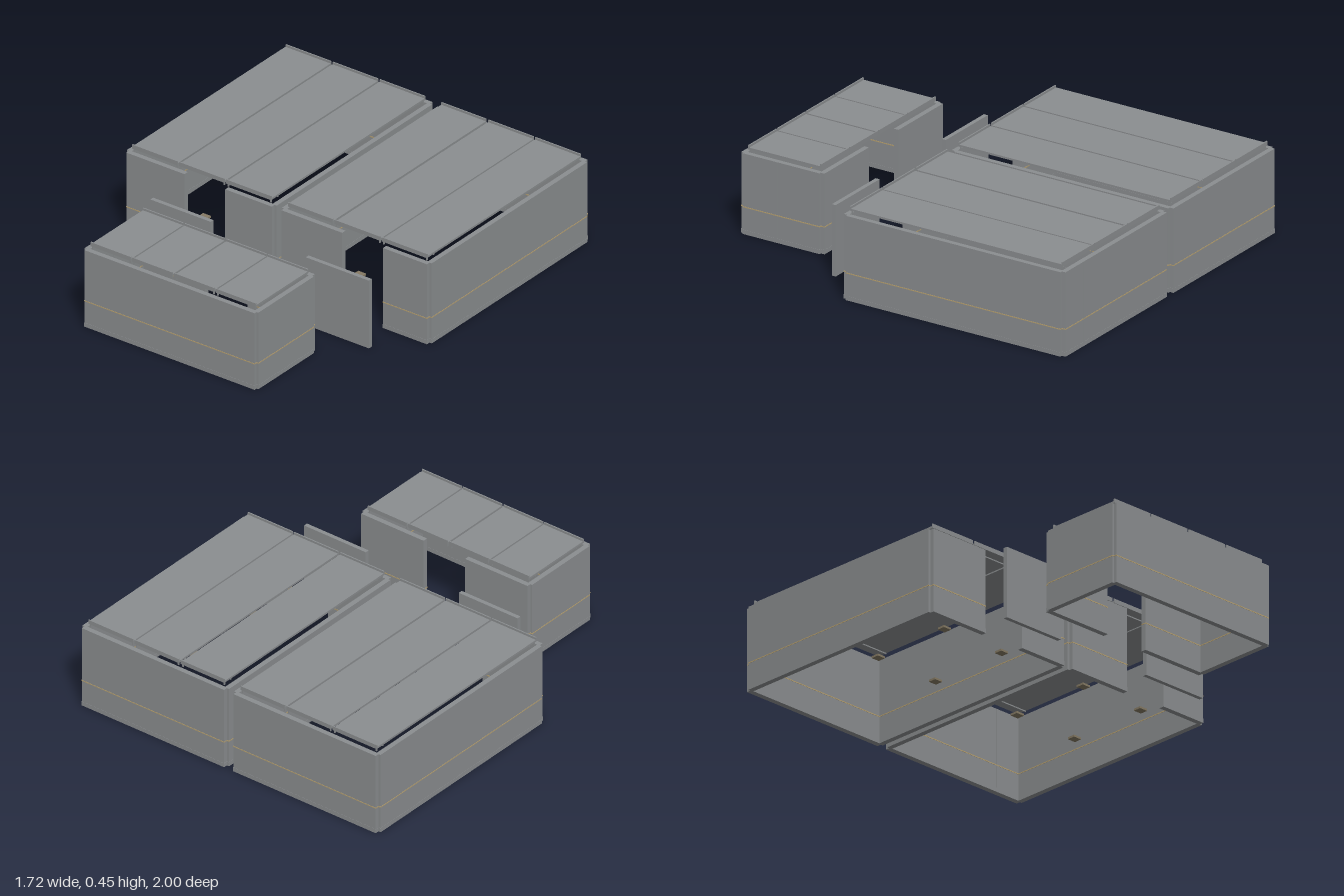
import * as THREE from 'three';

const mat = (name, color) => Object.assign(new THREE.MeshStandardMaterial({ color }), { name });
const panelGrey = mat('panel grey', 0x8b8e90);
const plateBrown = mat('plate brown', 0x857a64);
const lineTan = mat('line tan', 0xb8a272);

// Box given by its limits on each axis
function box(parent, name, material, [x0, x1], [y0, y1], [z0, z1]) {
  const mesh = new THREE.Mesh(new THREE.BoxGeometry(x1 - x0, y1 - y0, z1 - z0), material);
  mesh.position.set((x0 + x1) / 2, (y0 + y1) / 2, (z0 + z1) / 2);
  mesh.name = name;
  parent.add(mesh);
}

// Wall with a base rail, a tan joint line and optional upright cover strips
function wall(parent, name, xs, zs, height, seams = []) {
  const g = new THREE.Group();
  g.name = name;
  parent.add(g);
  const wide = ([a, b]) => [a - 0.001, b + 0.001];
  box(g, 'wallPanel', panelGrey, xs, [0, height], zs);
  box(g, 'baseRail', panelGrey, wide(xs), [0, 0.021], wide(zs));
  box(g, 'panelLine', lineTan, wide(xs), [0.131, 0.136], wide(zs));
  const alongX = xs[1] - xs[0] > zs[1] - zs[0];
  for (const s of seams) {
    const cut = [s - 0.0015, s + 0.0015];
    // strips stop either side of the joint line
    for (const ys of [[0.021, 0.131], [0.136, height]])
      box(g, 'coverStrip', panelGrey, alongX ? cut : wide(xs), ys, alongX ? wide(zs) : cut);
  }
}

// Raised roof of separate strips with turned-up ends, resting on two cross rods
function roof(parent, strips, zs, y, rodZ, rodXs) {
  const g = new THREE.Group();
  g.name = 'roof';
  parent.add(g);
  const [z0, z1] = zs;
  for (const xs of strips) {
    box(g, 'roofStrip', panelGrey, xs, [y, y + 0.01], zs);
    for (const z of [z0, z1 - 0.006])
      box(g, 'roofLip', panelGrey, xs, [y + 0.01, y + 0.021], [z, z + 0.006]);
    // small feet under the strip corners
    for (const x of [xs[0] + 0.004, xs[1] - 0.01])
      for (const z of [z0 + 0.006, z1 - 0.012])
        box(g, 'roofFoot', panelGrey, [x, x + 0.006], [y - 0.016, y], [z, z + 0.006]);
  }
  for (const z of rodZ) box(g, 'roofRod', panelGrey, rodXs, [y - 0.006, y], [z - 0.003, z + 0.003]);
}

// Large room; x is its lower side
function largeRoom(name, x, door, strips, plates, seams) {
  const g = new THREE.Group();
  g.name = name;
  const h = 0.413, t = 0.025, w = 0.845;
  wall(g, 'lowerSideWall', [x, x + t], [-0.98, 0.18], h);
  wall(g, 'upperSideWall', [x + w - t, x + w], [-0.98, 0.18], h);
  wall(g, 'backWall', [x + 0.012, x + w - 0.012], [-1, -0.975], h, seams);
  wall(g, 'frontWallA', [x + 0.012, door[0]], [0.175, 0.2], h);
  wall(g, 'frontWallB', [door[1], x + w - 0.012], [0.175, 0.2], h);
  roof(g, strips, [-0.973, 0.178], 0.429, [-0.925, 0.125], [strips[0][0], strips[2][1]]);
  // small plates inside the room
  for (const px of plates)
    for (const z of [-0.44, -0.015])
      box(g, 'innerPlate', plateBrown, [px - 0.022, px + 0.022], [0.072, 0.082], [z - 0.02, z + 0.02]);
  return g;
}

function smallRoom() {
  const g = new THREE.Group();
  g.name = 'smallRoom';
  const h = 0.395;
  wall(g, 'frontWall', [-0.48, 0.48], [0.975, 1], h, [0.4]);
  for (const s of [-1, 1]) {
    const span = (a, b) => (s > 0 ? [a, b] : [-b, -a]);
    wall(g, 'sideWall', span(0.465, 0.49), [0.57, 0.985], h, [0.8]);
    wall(g, 'backWall', span(0.12, 0.48), [0.55, 0.575], h);
  }
  const strips = [[-0.465, -0.239], [-0.231, -0.005], [0.005, 0.231], [0.239, 0.465]];
  roof(g, strips, [0.577, 0.973], 0.408, [0.625, 0.92], [-0.465, 0.465]);
  return g;
}

export function createModel() {
  const model = new THREE.Group();
  model.name = 'panelRooms';
  model.add(
    largeRoom('leftLargeRoom', 0.015, [0.37, 0.6],
      [[0.047, 0.299], [0.311, 0.567], [0.575, 0.832]], [0.305, 0.665], [0.7]),
    largeRoom('rightLargeRoom', -0.86, [-0.52, -0.29],
      [[-0.832, -0.577], [-0.567, -0.311], [-0.301, -0.047]], [-0.57, -0.21], []),
    smallRoom(),
  );
  // free-standing screens in front of the doorways
  for (const xs of [[-0.57, -0.23], [0.307, 0.663]])
    box(model, 'screen', panelGrey, xs, [0, 0.35], [0.367, 0.388]);
  return model;
}
